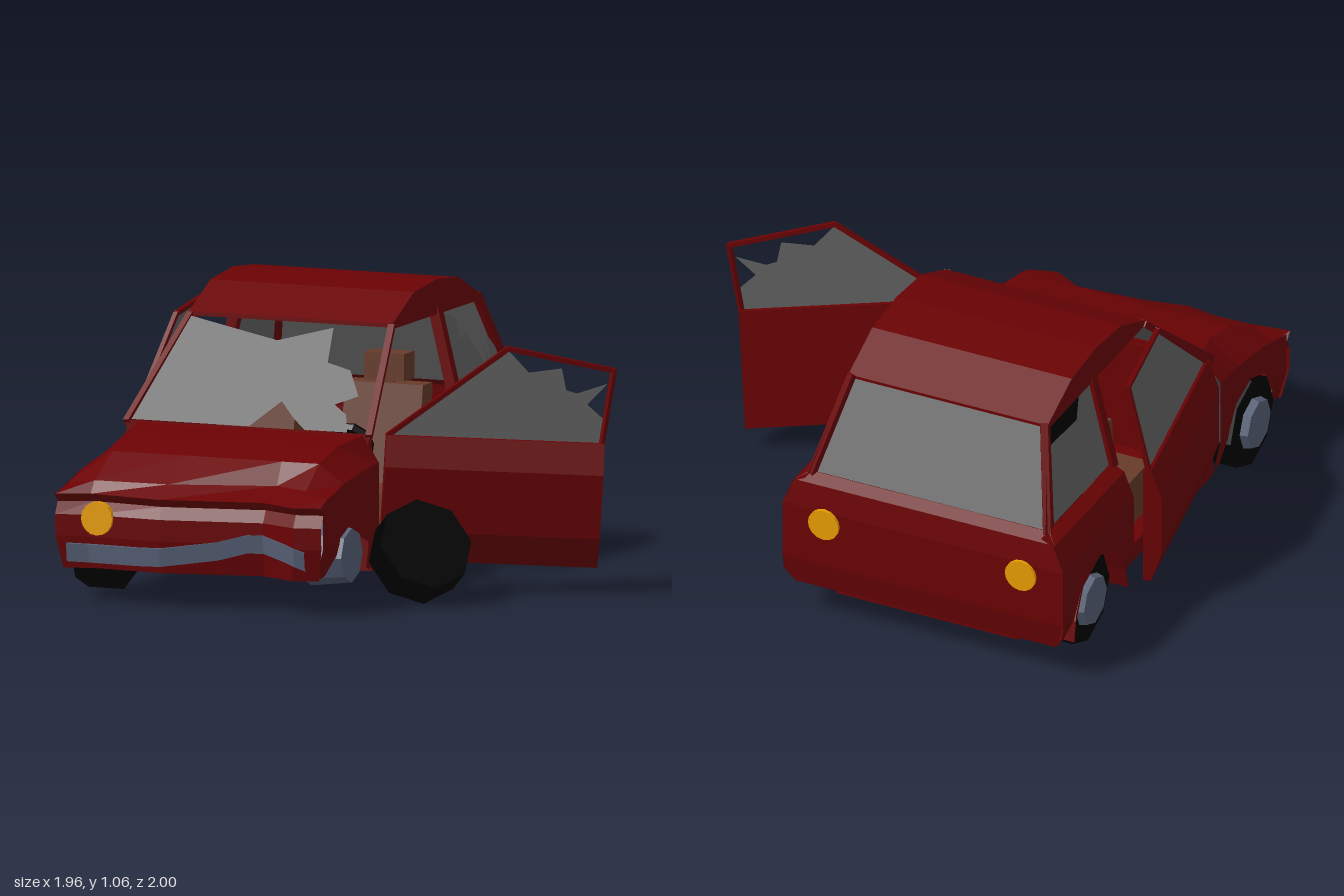
import * as THREE from 'three';

const CX = -0.31; // centre line of the car body

function material(name, color) {
  return new THREE.MeshStandardMaterial({ name, color, flatShading: true, side: THREE.DoubleSide });
}

export function createModel() {
  const model = new THREE.Group();
  model.name = 'wreckedCar';
  const body = new THREE.Group();
  body.name = 'body';
  body.position.x = CX;
  model.add(body);

  const red = material('red paint', 0x6a0204);
  const grey = material('window glass', 0x646464);
  const black = material('black rubber', 0x000000);
  const steel = material('blue steel', 0x566076);
  const brown = material('brown seat', 0x673b2a);
  const yellow = material('yellow lamp', 0xfaa800);
  const dark = material('dark chassis', 0x2c333a);

  function add(name, geometry, mat, parent = body) {
    const mesh = new THREE.Mesh(geometry, mat);
    mesh.name = name;
    parent.add(mesh);
    return mesh;
  }
  // surface through rows of points
  function grid(name, rows, mat) {
    const index = [], n = rows[0].length;
    for (let i = 0; i < rows.length - 1; i++) for (let j = 0; j < n - 1; j++) {
      const a = i * n + j, b = a + n;
      index.push(a, b, a + 1, b, b + 1, a + 1);
    }
    const g = new THREE.BufferGeometry();
    g.setAttribute('position', new THREE.Float32BufferAttribute(rows.flat(2), 3));
    g.setIndex(index);
    g.computeVertexNormals();
    add(name, g, mat);
  }
  function box(name, x0, x1, y0, y1, z0, z1, mat) {
    const m = add(name, new THREE.BoxGeometry(x1 - x0, y1 - y0, z1 - z0), mat);
    m.position.set((x0 + x1) / 2, (y0 + y1) / 2, (z0 + z1) / 2);
  }
  function bar(name, a, b, w, mat, parent = body) {
    const p = new THREE.Vector3(...a), q = new THREE.Vector3(...b);
    const m = new THREE.Mesh(new THREE.BoxGeometry(w, w, p.distanceTo(q) + w * 0.6), mat);
    m.name = name;
    m.position.copy(p).add(q).multiplyScalar(0.5);
    m.lookAt(q);
    parent.add(m);
  }
  // flat outline moved onto a sloping plane by a rule
  function pane(name, pts, rule, mat = grey, parent = body) {
    const g = new THREE.ShapeGeometry(new THREE.Shape(pts.map(p => new THREE.Vector2(...p))));
    const pos = g.attributes.position;
    for (let i = 0; i < pos.count; i++) pos.setXYZ(i, ...rule(pos.getX(i), pos.getY(i)));
    g.computeVertexNormals();
    add(name, g, mat, parent);
  }

  // crumpled hood with a projecting lip over the nose
  const colX = [-0.52, -0.4, -0.11, 0.27, 0.42, 0.52];
  const hoodZ = [0.87, 0.91, 0.9, 0.78, 0.86, 0.9];
  const lipZ = [0.998, 0.945, 0.988, 0.91, 0.99, 0.96];
  const noseZ = [0.995, 0.965, 0.985, 0.91, 0.98, 0.955];
  grid('hoodAndNose', colX.map((x, j) => {
    const side = Math.abs(x) > 0.5, drop = side ? 0.1 : 0;
    return [
      [side ? x : x * 1.09, 0.6 - drop, 0.42], [x, 0.575 - drop * 0.9, 0.58], [x, 0.535 - drop * 0.7, 0.74],
      [x, 0.45 - drop * 0.2, hoodZ[j]], [x, 0.405, lipZ[j]], [x, 0.375, Math.min(lipZ[j], noseZ[j]) - 0.025],
      [x, 0.33, noseZ[j]], [x, 0.25, noseZ[j] - 0.003], [x * 0.96, 0.13, noseZ[j] - 0.03],
    ];
  }), red);
  const noseAt = x => {
    let j = 0;
    while (j < colX.length - 2 && x > colX[j + 1]) j++;
    return THREE.MathUtils.lerp(noseZ[j], noseZ[j + 1], (x - colX[j]) / (colX[j + 1] - colX[j]));
  };

  // bent bumper strip
  const bump = [[-0.48, 0.19], [-0.4, 0.187], [-0.2, 0.187], [-0.11, 0.19], [0.1, 0.22], [0.21, 0.25], [0.27, 0.25], [0.38, 0.23], [0.42, 0.22], [0.46, 0.205]];
  grid('bumper', bump.map(([x, y]) => [
    [x, y + 0.036, noseAt(x) - 0.02], [x, y + 0.034, noseAt(x) + 0.003],
    [x, y - 0.034, noseAt(x) - 0.006], [x, y - 0.036, noseAt(x) - 0.03]]), steel);

  // lamps
  function lamp(name, x, y, z) {
    const m = add(name, new THREE.CylinderGeometry(0.062, 0.062, 0.026, 16), yellow);
    m.rotation.x = Math.PI / 2;
    m.position.set(x, y, z);
  }
  lamp('headlight', -0.36, 0.32, 0.971);
  for (const s of [-1, 1]) lamp('tailLight', s * 0.4, 0.43, -0.987);

  // front fenders: z and lower edge; the left one is crushed down over its arch
  const arches = {
    '-1': [[0.42, 0.11], [0.47, 0.12], [0.49, 0.22], [0.55, 0.34], [0.67, 0.38], [0.79, 0.34], [0.86, 0.22], [0.89, 0.14], [0.968, 0.135]],
    '1': [[0.42, 0.11], [0.47, 0.12], [0.5, 0.22], [0.6, 0.26], [0.74, 0.23], [0.82, 0.2], [0.85, 0.14], [0.88, 0.135], [0.935, 0.135]],
  };
  const fenderTop = z => (z < 0.58 ? 0.5 - (z - 0.42) * 0.094 : z < 0.74 ? 0.485 - (z - 0.58) * 0.125 : 0.465 - (z - 0.74) * 0.27) + 0.004;

  for (const s of [-1, 1]) {
    grid('frontFender', arches[s].map(([z, b]) => [
      [s * (b < 0.2 ? 0.49 : 0.515), b, z], [s * 0.52, Math.max(0.25, b), z], [s * 0.52, fenderTop(z), z]]), red);
    box('frontWheelWell', s * 0.36 - 0.01, s * 0.36 + 0.01, 0.15, 0.42, 0.42, 0.86, red);
    // wide rear fender with wheel arch
    const rear = [[-0.4, 0.13], [-0.46, 0.13], [-0.49, 0.22], [-0.55, 0.34], [-0.69, 0.395], [-0.83, 0.34], [-0.89, 0.22], [-0.905, 0.14], [-0.965, 0.14]];
    const section = (z, b) => [[s * (b < 0.2 ? 0.53 : 0.565), b, z], [s * 0.57, Math.max(0.25, b), z],
      [s * 0.57, 0.48, z], [s * 0.53, 0.58, z], [s * 0.48, 0.605, z]];
    grid('rearFender', [section(-0.4, 0.13).map(p => [s * 0.44, p[1], -0.4]), ...rear.map(r => section(...r)), section(-0.988, 0.2)], red);
    grid('rearArchLip', rear.slice(1, 8).map(([z, b]) => [[s * 0.575, b + 0.03, z], [s * 0.575, b, z], [s * 0.45, b, z]]), red);
    box('rearWheelWell', s * 0.37 - 0.01, s * 0.37 + 0.01, 0.14, 0.59, -0.95, -0.44, red);
    // posts and pillars
    box('doorPost', s * 0.455 - 0.025, s * 0.455 + 0.025, 0.12, 0.6, -0.44, -0.375, red);
    box('sill', s * 0.47 - 0.02, s * 0.47 + 0.02, 0.1, 0.17, -0.42, 0.42, red);
    bar('frontPillar', [s * 0.48, 0.6, 0.42], [s * 0.4, 0.94, 0.03], 0.024, red);
    bar('middlePillar', [s * 0.475, 0.6, -0.4], [s * 0.39, 0.95, -0.4], 0.04, red);
    bar('roofRail', [s * 0.392, 0.945, 0.02], [s * 0.392, 0.945, -0.77], 0.022, red);
    bar('rearPillar', [s * 0.475, 0.6, -0.93], [s * 0.39, 0.95, -0.78], 0.028, red);
    grid('rearCornerPanel', [[[s * 0.485, 0.6, -0.89], [s * 0.4, 0.95, -0.75]], [[s * 0.485, 0.6, -0.96], [s * 0.4, 0.95, -0.78]]], red);
  }

  // tail, rear deck and rear window
  grid('tailPanel', [[0.53, 0.14, -0.965], [0.57, 0.25, -0.988], [0.57, 0.48, -0.988], [0.53, 0.58, -0.975], [0.485, 0.605, -0.93]]
    .map(([w, y, z]) => [[-w, y, z], [w, y, z]]), red);
  pane('rearWindow', [[-0.47, 0.605], [0.47, 0.605], [0.39, 0.945], [-0.39, 0.945]],
    (x, y) => [x, y, -0.93 + 0.15 * (y - 0.6) / 0.35]);

  // domed roof
  const roofShape = new THREE.Shape([[-0.03, 0.94], [-0.03, 0.955], [0.17, 1.045], [0.38, 1.065], [0.58, 1.045], [0.78, 0.955], [0.78, 0.94]]
    .map(p => new THREE.Vector2(...p)));
  const roof = add('roof', new THREE.ExtrudeGeometry(roofShape, { depth: 0.81, bevelEnabled: false }), red);
  roof.rotation.y = Math.PI / 2;
  roof.position.x = -0.405;

  // broken windscreen
  bar('cowl', [-0.48, 0.592, 0.415], [0.48, 0.592, 0.415], 0.02, red);
  pane('windscreen', [[-0.475, 0.605], [0, 0.605], [0.09, 0.69], [0.16, 0.64], [0.22, 0.605], [0.39, 0.605], [0.36, 0.66], [0.3, 0.69],
    [0.38, 0.72], [0.31, 0.8], [0.21, 0.82], [0.18, 0.93], [-0.02, 0.88], [-0.39, 0.94]],
  (x, y) => [x, y, 0.42 - 0.39 * (y - 0.6) / 0.35]);

  // rear quarter windows, given as distance back and height
  const quarterRule = s => (u, y) => [s * (0.478 - 0.085 * (y - 0.6) / 0.35), y, -u];
  pane('brokenQuarterWindow', [[0.41, 0.605], [0.9, 0.605], [0.83, 0.76], [0.78, 0.81], [0.77, 0.7], [0.74, 0.78], [0.72, 0.68],
    [0.69, 0.76], [0.66, 0.77], [0.62, 0.84], [0.55, 0.82], [0.55, 0.9], [0.41, 0.94]], quarterRule(1));
  pane('quarterWindow', [[0.41, 0.605], [0.9, 0.605], [0.79, 0.87], [0.56, 0.86], [0.5, 0.94], [0.41, 0.94]], quarterRule(-1));
  pane('quarterWindowTopTrim', [[0.5, 0.94], [0.56, 0.86], [0.79, 0.87], [0.76, 0.94]], quarterRule(-1), black);

  // floor, bulkhead and axles
  box('floor', -0.48, 0.48, 0.1, 0.14, -0.46, 0.42, red);
  box('rearFloor', -0.37, 0.37, 0.12, 0.15, -0.95, -0.46, red);
  box('tailFloor', -0.53, 0.53, 0.14, 0.16, -0.965, -0.91, red);
  box('bulkhead', -0.48, 0.48, 0.1, 0.592, 0.395, 0.425, red);
  for (const z of [0.67, -0.69]) box('axle', -0.46, 0.46, 0.11, 0.16, z - 0.035, z + 0.035, dark);

  // wheels, outer side towards local +y
  function wheel(name, parent) {
    const g = new THREE.Group();
    g.name = name;
    add('tyre', new THREE.CylinderGeometry(0.178, 0.178, 0.14, 8), black, g);
    add('hub', new THREE.CylinderGeometry(0.095, 0.105, 0.04, 8), steel, g).position.y = 0.08;
    parent.add(g);
    return g;
  }
  for (const [name, s, z] of [['rearLeftWheel', 1, -0.69], ['rearRightWheel', -1, -0.69], ['frontRightWheel', -1, 0.67]]) {
    const w = wheel(name, body);
    w.position.set(s * 0.455, 0.195, z);
    w.rotation.z = -s * Math.PI / 2;
  }
  const loose = wheel('looseWheel', model);
  loose.position.set(0.39, 0.19, 0.46);
  loose.quaternion.setFromUnitVectors(new THREE.Vector3(0, 1, 0), new THREE.Vector3(-0.6, -0.53, -0.6).normalize());
  const bareHub = add('bareHub', new THREE.CylinderGeometry(0.1, 0.12, 0.16, 8), steel);
  bareHub.rotation.z = -Math.PI / 2;
  bareHub.position.set(0.455, 0.2, 0.705);

  // seats
  const seatShape = new THREE.Shape([[-0.07, 0.14], [-0.07, 0.33], [0.19, 0.33], [0.25, 0.69], [0.34, 0.69], [0.28, 0.14]].map(p => new THREE.Vector2(...p)));
  for (const s of [-1, 1]) {
    const seat = add('seat', new THREE.ExtrudeGeometry(seatShape, { depth: 0.31, bevelEnabled: false }), brown);
    seat.rotation.y = Math.PI / 2;
    seat.position.x = s * 0.25 - 0.155;
    box('headrest', s * 0.25 - 0.08, s * 0.25 + 0.08, 0.7, 0.8, -0.345, -0.25, brown);
    bar('headrestStem', [s * 0.25, 0.68, -0.3], [s * 0.25, 0.71, -0.3], 0.05, brown);
  }
  const steering = add('steeringWheel', new THREE.TorusGeometry(0.068, 0.022, 6, 10), black);
  steering.position.set(0.28, 0.52, 0.12);
  steering.rotation.x = 0.5;
  bar('steeringColumn', [0.28, 0.52, 0.12], [0.28, 0.44, 0.39], 0.03, black);

  // doors hang from the belt line at the hinge; s is the side, lean the inward slope of the window
  function door(name, s, lean, top, glass) {
    const g = new THREE.Group();
    g.name = name;
    const profile = [[-0.03, 0], [0, 0], [0.04, -0.11], [0.04, -0.35], [0, -0.47], [-0.03, -0.47]];
    const shape = new THREE.Shape(profile.map(([x, y]) => new THREE.Vector2(s * x, y)));
    add('doorPanel', new THREE.ExtrudeGeometry(shape, { depth: 0.8, bevelEnabled: false }), red, g).position.z = -0.8;
    const rule = (u, y) => [s * (-0.012 - lean * y / 0.35), y, -u];
    for (let i = 0; i < top.length - 1; i++) bar('windowFrame', rule(...top[i]), rule(...top[i + 1]), 0.017, red, g);
    pane('doorGlass', glass, rule, grey, g);
    g.rotation.order = 'YXZ';
    model.add(g);
    return g;
  }
  const rightTop = [[0.01, 0], [0.38, 0.34], [0.79, 0.34], [0.79, 0]];
  const right = door('rightDoor', -1, 0.08, rightTop, rightTop);
  right.position.set(CX - 0.48, 0.6, 0.4);
  right.rotation.y = 0.19;
  const left = door('leftDoor', 1, 0.03, [[0.01, 0], [0.43, 0.335], [0.82, 0.27], [0.79, 0]],
    [[0.01, 0], [0.43, 0.33], [0.51, 0.25], [0.63, 0.27], [0.65, 0.19], [0.69, 0.18], [0.8, 0.22], [0.73, 0.14], [0.79, 0.09], [0.79, 0]]);
  left.position.set(0.225, 0.6, 0.39);
  left.rotation.set(-0.05, -1.1, -0.13);

  return model;
}
